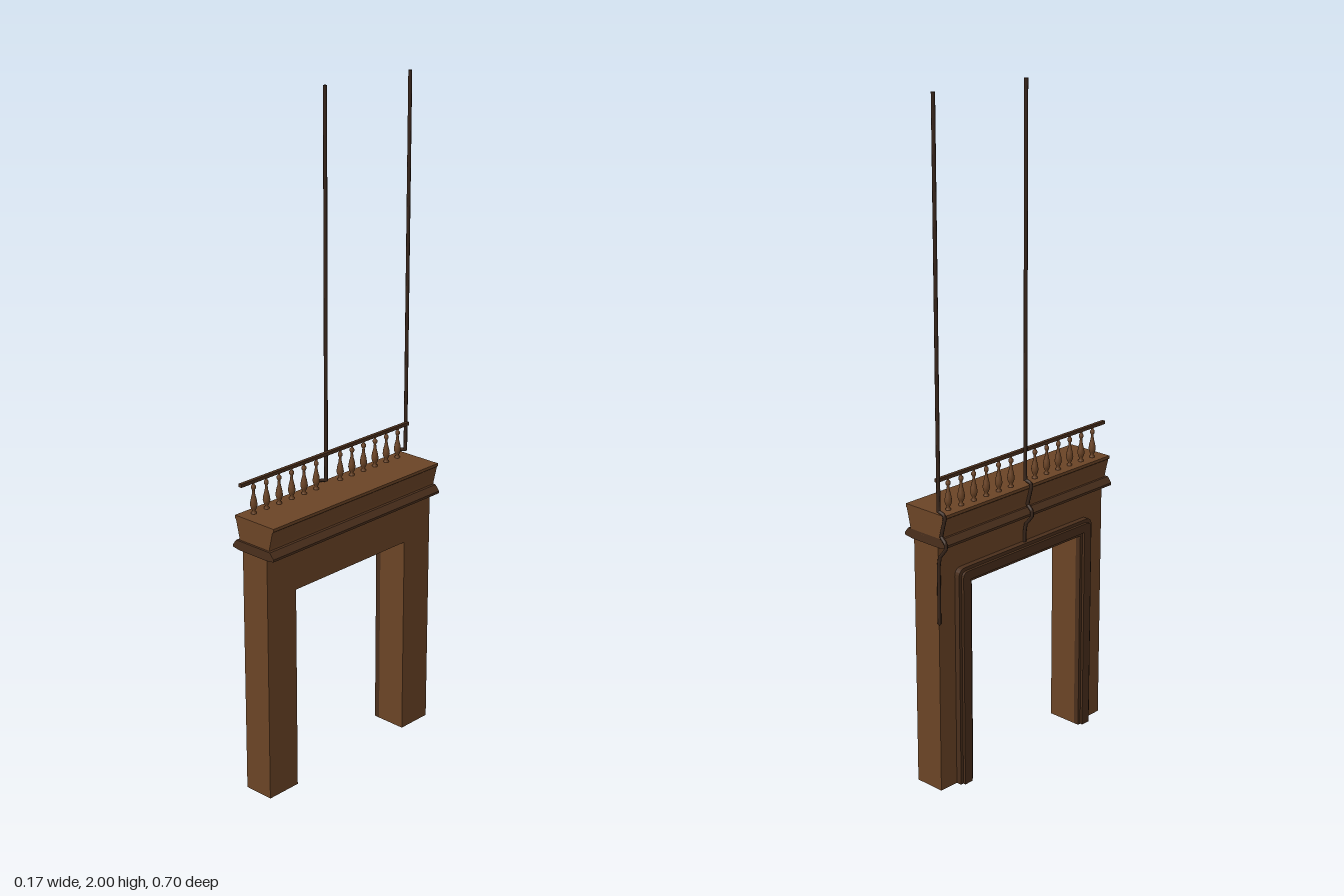
import * as THREE from 'three';

const wood = new THREE.MeshStandardMaterial({ color: 0x6b4426 });
const darkWood = new THREE.MeshStandardMaterial({ color: 0x4a2f1c });
const iron = new THREE.MeshStandardMaterial({ color: 0x38261b });

export function createModel() {
  const model = new THREE.Group();

  function add(name, geometry, material, x = 0, y = 0, z = 0) {
    const mesh = new THREE.Mesh(geometry, material);
    mesh.name = name;
    mesh.position.set(x, y, z);
    model.add(mesh);
    return mesh;
  }

  // Upside-down U drawn in z and y, with optional rounded outer corners, extruded towards -x
  function portal(inner, innerTop, outer, outerTop, radius, depth) {
    const s = new THREE.Shape();
    s.moveTo(-outer, 0);
    s.lineTo(-inner, 0);
    s.lineTo(-inner, innerTop);
    s.lineTo(inner, innerTop);
    s.lineTo(inner, 0);
    s.lineTo(outer, 0);
    s.lineTo(outer, outerTop - radius);
    if (radius) s.quadraticCurveTo(outer, outerTop, outer - radius, outerTop);
    s.lineTo(radius - outer, outerTop);
    if (radius) s.quadraticCurveTo(-outer, outerTop, -outer, outerTop - radius);
    const g = new THREE.ExtrudeGeometry(s, { depth, bevelEnabled: false, curveSegments: 6 });
    return g.rotateY(-Math.PI / 2);
  }

  // Side profile in x and y, extruded along z
  function moulding(points, z0, z1) {
    const s = new THREE.Shape(points.map(p => new THREE.Vector2(...p)));
    return new THREE.ExtrudeGeometry(s, { depth: z1 - z0, bevelEnabled: false }).translate(0, 0, z0);
  }

  // Gate body: two piers and the lintel
  add('gateway', portal(0.23, 0.625, 0.343, 0.765, 0, 0.095), wood, 0.05);

  // Stepped trim around the opening on the -x face
  add('openingTrim', portal(0.23, 0.625, 0.28, 0.672, 0.025, 0.017), darkWood, -0.045);
  add('openingTrimBead', portal(0.24, 0.635, 0.27, 0.662, 0.02, 0.025), darkWood, -0.045);

  // Flared cornice and the ledge beneath it
  add('cornice', moulding([
    [-0.055, 0.775], [0.06, 0.775], [0.062, 0.79], [0.074, 0.84], [0.078, 0.843],
    [0.078, 0.852], [-0.073, 0.852], [-0.073, 0.843], [-0.069, 0.84], [-0.057, 0.79],
  ], -0.346, 0.344), wood);
  add('corniceLedge', moulding([
    [-0.05, 0.754], [0.055, 0.754], [0.084, 0.758], [0.084, 0.765], [0.07, 0.782],
    [-0.063, 0.782], [-0.076, 0.765], [-0.076, 0.758],
  ], -0.346, 0.351), darkWood);

  // Balustrade: turned balusters below a square rail
  const railX = -0.043;
  const turned = [
    [0.001, 0], [0.008, 0], [0.008, 0.005], [0.004, 0.01], [0.008, 0.018], [0.011, 0.028],
    [0.009, 0.042], [0.005, 0.058], [0.0035, 0.072], [0.007, 0.078], [0.007, 0.084],
    [0.0035, 0.088], [0.0035, 0.096],
  ].map(p => new THREE.Vector2(...p));
  const balusterGeometry = new THREE.LatheGeometry(turned, 12);
  for (let i = -6; i <= 6; i++) {
    if (i) add('baluster', balusterGeometry, wood, railX, 0.85, i * 0.05);
  }
  add('handrail', new THREE.BoxGeometry(0.011, 0.01, 0.697), darkWood, railX, 0.949, 0.0025);

  // Tall poles whose feet hook over the cornice and run down the face
  function pole(z, footY) {
    add('pole', new THREE.CylinderGeometry(0.0055, 0.0055, 1.14, 8), iron, -0.052, 1.43, z);
    const path = new THREE.CurvePath();
    const points = [
      [-0.052, 0.88], [-0.054, 0.862], [-0.074, 0.857], [-0.076, 0.845], [-0.061, 0.79],
      [-0.078, 0.774], [-0.0795, 0.758], [-0.068, 0.743], [-0.055, 0.728], [-0.05, 0.7], [-0.05, footY],
    ].map(([x, y]) => new THREE.Vector3(x, y, z));
    for (let i = 1; i < points.length; i++) path.add(new THREE.LineCurve3(points[i - 1], points[i]));
    add('poleHook', new THREE.TubeGeometry(path, 64, 0.0052, 8), iron);
    add('poleHookEnd', new THREE.SphereGeometry(0.0052, 8, 6), iron, -0.05, footY, z);
  }
  pole(0, 0.66);
  pole(-0.3465, 0.528);

  return model;
}
